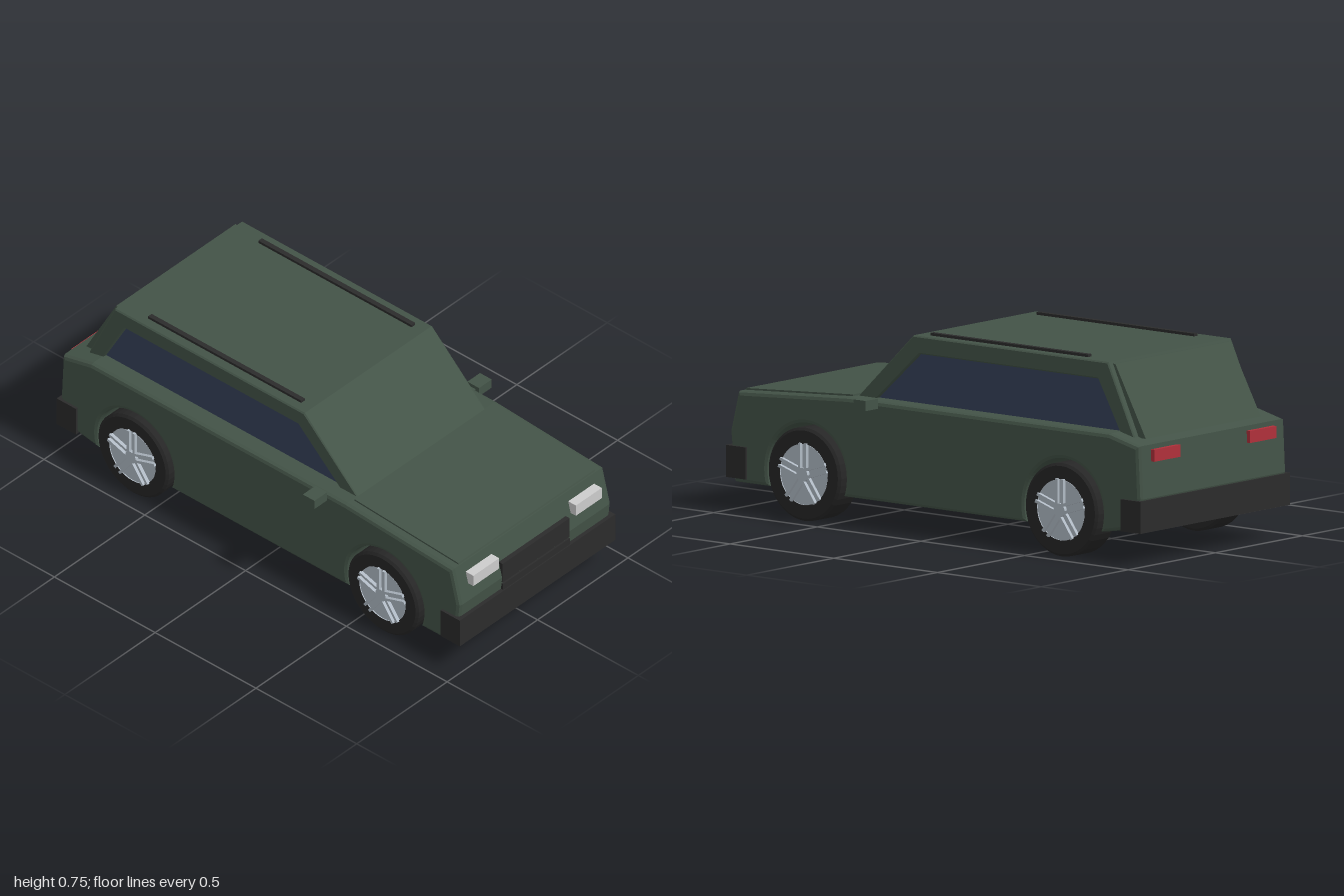
import * as THREE from 'three';

const mat = (name, color, side = THREE.FrontSide) => {
  const m = new THREE.MeshStandardMaterial({ color, side });
  m.name = name;
  return m;
};

export function createModel() {
  const car = new THREE.Group();
  car.name = 'estateCar';
  const paint = mat('green paint', 0x435347);
  const trim = mat('black trim', 0x2b2b2b);
  const rubber = mat('tyre rubber', 0x262626);
  const glass = mat('blue glass', 0x36425a);
  const alloy = mat('alloy', 0xb0bac4, THREE.DoubleSide);
  const steel = mat('axle steel', 0x858b92);
  const lamp = mat('headlight', 0xcccccc);
  const red = mat('tail light', 0xb0303a);

  const add = (name, geo, material, parent = car) => {
    const m = new THREE.Mesh(geo, material);
    m.name = name;
    parent.add(m);
    return m;
  };
  // box given by its ranges
  const box = (name, material, [x0, x1], [y0, y1], [z0, z1]) =>
    add(name, new THREE.BoxGeometry(x1 - x0, y1 - y0, z1 - z0)
      .translate((x0 + x1) / 2, (y0 + y1) / 2, (z0 + z1) / 2), material);
  // side profile in (z, y) extruded between two x positions
  const profile = (shape, x0, x1, bevel = 0, segments = 1) =>
    new THREE.ExtrudeGeometry(shape, {
      depth: x1 - x0 - 2 * bevel, curveSegments: 24, bevelEnabled: bevel > 0,
      bevelThickness: bevel, bevelSize: bevel, bevelOffset: -bevel, bevelSegments: segments,
    }).rotateY(-Math.PI / 2).translate(x1 - bevel, 0, 0);
  const poly = (pts) => new THREE.Shape(pts.map(([z, y]) => new THREE.Vector2(z, y)));

  // lower body with wheel arches cut through
  const wheelY = 0.175, wheelZ = 0.62, archR = 0.187, floor = 0.108;
  const a = Math.asin((wheelY - floor) / archR);
  const s = new THREE.Shape();
  s.moveTo(0.97, floor);
  s.lineTo(0.99, 0.3);
  s.lineTo(0.952, 0.45);
  s.lineTo(0.42, 0.482);
  s.lineTo(-0.84, 0.482);
  s.lineTo(-0.982, 0.448);
  s.lineTo(-0.992, 0.25);
  s.lineTo(-0.96, 0.135);
  s.lineTo(-wheelZ - archR * Math.cos(a), floor);
  s.absarc(-wheelZ, wheelY, archR, Math.PI + a, -a, true);
  s.lineTo(wheelZ - archR * Math.cos(a), floor);
  s.absarc(wheelZ, wheelY, archR, Math.PI + a, -a, true);
  s.lineTo(0.97, floor);
  add('lowerBody', profile(s, -0.42, 0.42, 0.016, 2), paint);
  add('bonnet', profile(poly([[0.95, 0.44], [0.945, 0.457], [0.43, 0.488], [0.43, 0.46]]), -0.378, 0.378), paint);

  // cabin core, framed sides and recessed windows
  const cabin = [[0.435, 0.47], [0.16, 0.735], [-0.78, 0.735], [-0.91, 0.46]];
  const windowPts = [[0.335, 0.482], [0.13, 0.668], [-0.73, 0.668], [-0.835, 0.482]];
  add('cabin', profile(poly(cabin), -0.335, 0.335), paint);
  for (const side of [1, -1]) {
    const frame = poly(cabin);
    frame.holes.push(poly(windowPts));
    const [f0, f1] = side > 0 ? [0.3, 0.355] : [-0.355, -0.3];
    add('windowFrame', profile(frame, f0, f1, 0.005), paint);
    const [g0, g1] = side > 0 ? [0.334, 0.34] : [-0.34, -0.334];
    add('sideWindow', profile(poly([[0.36, 0.475], [0.13, 0.68], [-0.73, 0.68], [-0.85, 0.475]]), g0, g1), glass);
  }
  add('tailgate', profile(poly([[-0.77, 0.727], [-0.795, 0.727], [-0.942, 0.462], [-0.9, 0.462]]), -0.33, 0.33), paint);

  // bumpers and grille
  box('frontBumper', trim, [-0.43, 0.43], [0.125, 0.245], [0.905, 1]);
  box('rearBumper', trim, [-0.43, 0.43], [0.125, 0.245], [-1, -0.905]);
  box('upperGrille', trim, [-0.185, 0.185], [0.279, 0.365], [0.93, 0.993]);
  box('lowerGrille', trim, [-0.185, 0.185], [0.24, 0.272], [0.93, 0.995]);

  // lights, mirrors and roof rails on both sides
  for (const side of [1, -1]) {
    const span = (p, q) => (side > 0 ? [p, q] : [-q, -p]);
    box('headlight', lamp, span(0.212, 0.355), [0.364, 0.412], [0.93, 1]);
    box('tailLight', red, span(0.2, 0.35), [0.385, 0.43], [-1, -0.97]);
    box('mirror', paint, span(0.42, 0.49), [0.456, 0.494], [0.275, 0.333]);
    box('mirrorArm', paint, span(0.34, 0.43), [0.465, 0.48], [0.292, 0.316]);
    box('roofRail', trim, span(0.295, 0.315), [0.73, 0.745], [-0.65, 0.11]);
  }

  // wheels, built pointing along +x and turned for the other side
  const makeWheel = () => {
    const wheel = new THREE.Group();
    wheel.name = 'wheel';
    const ring = [[0.115, -0.055], [0.165, -0.055], [0.175, -0.047], [0.175, 0.05],
      [0.165, 0.058], [0.115, 0.058], [0.115, -0.055]].map(([r, h]) => new THREE.Vector2(r, h));
    const tyre = new THREE.LatheGeometry(ring, 40).toNonIndexed().rotateZ(-Math.PI / 2);
    tyre.computeVertexNormals();
    add('tyre', tyre, rubber, wheel);
    add('rimBarrel', new THREE.CylinderGeometry(0.114, 0.114, 0.112, 40, 1, true)
      .rotateZ(Math.PI / 2).translate(0.002, 0, 0), alloy, wheel);
    add('rimDisc', new THREE.CylinderGeometry(0.114, 0.114, 0.02, 40)
      .rotateZ(Math.PI / 2).translate(0.044, 0, 0), alloy, wheel);
    add('hub', new THREE.CylinderGeometry(0.026, 0.026, 0.02, 20)
      .rotateZ(Math.PI / 2).translate(0.058, 0, 0), alloy, wheel);
    for (let i = 0; i < 5; i++) {
      for (const off of [-0.014, 0.014]) {
        add('spoke', new THREE.BoxGeometry(0.016, 0.103, 0.011)
          .translate(0.06, 0.066, off).rotateX((i * 2 * Math.PI) / 5), alloy, wheel);
      }
    }
    return wheel;
  };
  for (const z of [wheelZ, -wheelZ]) {
    for (const side of [1, -1]) {
      const w = makeWheel();
      w.position.set(side * 0.377, wheelY, z);
      if (side < 0) w.rotation.y = Math.PI;
      car.add(w);
    }
    add('axle', new THREE.CylinderGeometry(0.013, 0.013, 0.8, 16)
      .rotateZ(Math.PI / 2).translate(0, wheelY, z), steel);
  }
  return car;
}
